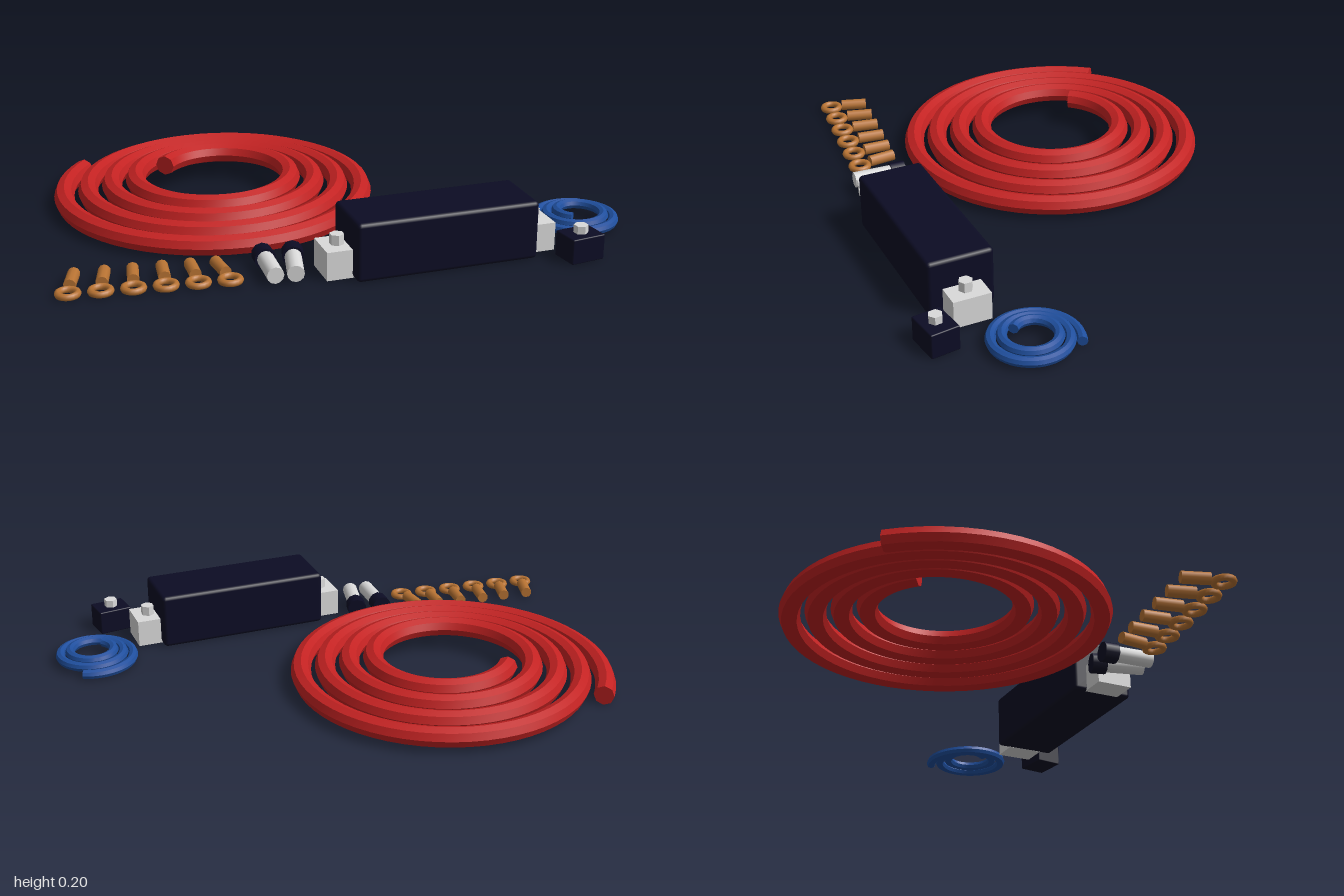
import * as THREE from 'three';
import { toCreasedNormals } from 'three/addons/utils/BufferGeometryUtils.js';
import { RoundedBoxGeometry } from 'three/addons/geometries/RoundedBoxGeometry.js';

const material = (name, color) => {
  const m = new THREE.MeshStandardMaterial({ color });
  m.name = name;
  return m;
};

const red = material('red cable', 0xc42222);
const blue = material('blue wire', 0x1f4f9e);
const black = material('black plastic', 0x0c0c24);
const silver = material('silver metal', 0xdadada);
const copper = material('copper', 0xb87333);

function add(parent, name, geometry, mat, x = 0, y = 0, z = 0) {
  const mesh = new THREE.Mesh(geometry, mat);
  mesh.name = name;
  mesh.position.set(x, y, z);
  parent.add(mesh);
  return mesh;
}

function addGroup(parent, name, x, z, turn) {
  const group = new THREE.Group();
  group.name = name;
  group.position.set(x, 0, z);
  group.rotation.y = turn;
  parent.add(group);
  return group;
}

// Capped eight-sided cable wound in a flat spiral that sinks outwards
function coil({ startAngle, turns, startRadius, pitch, thickness, startY, steps }) {
  const sides = 8, positions = [], index = [];
  const rings = steps + 3;
  for (let i = 0; i < rings; i++) {
    const t = THREE.MathUtils.clamp((i - 1) / steps, 0, 1);
    const size = i === 0 || i === rings - 1 ? 0 : thickness;
    const angle = startAngle + t * turns * Math.PI * 2;
    const y = THREE.MathUtils.lerp(startY, thickness, t);
    for (let j = 0; j < sides; j++) {
      const phi = (j / sides) * Math.PI * 2;
      const r = startRadius + pitch * turns * t + size * Math.cos(phi);
      positions.push(r * Math.cos(angle), y + size * Math.sin(phi), r * Math.sin(angle));
      if (i === rings - 1) continue;
      const a = i * sides + j, b = i * sides + (j + 1) % sides;
      if (i > 0) index.push(a, b, a + sides);
      if (i < rings - 2) index.push(b, b + sides, a + sides);
    }
  }
  const geometry = new THREE.BufferGeometry();
  geometry.setAttribute('position', new THREE.Float32BufferAttribute(positions, 3));
  geometry.setIndex(index);
  return toCreasedNormals(geometry, 0.5);
}

// Cylinder lying along z
const rod = (radius, length, sides) =>
  new THREE.CylinderGeometry(radius, radius, length, sides).rotateX(Math.PI / 2);

const hexBolt = (radius, height) =>
  toCreasedNormals(new THREE.CylinderGeometry(radius, radius, height, 6), 0.5);

export function createModel() {
  const model = new THREE.Group();
  model.name = 'wiringKit';

  // Cable coils
  add(model, 'powerCable', coil({
    startAngle: THREE.MathUtils.degToRad(214), turns: 4, startRadius: 0.226,
    pitch: 0.088, thickness: 0.037, startY: 0.098, steps: 240,
  }), red, -0.365, 0, -0.163);
  add(model, 'remoteWire', coil({
    startAngle: THREE.MathUtils.degToRad(126), turns: 2.46, startRadius: 0.066,
    pitch: 0.036, thickness: 0.018, startY: 0.047, steps: 120,
  }), blue, 0.854, 0, 0.342);

  // Fuse holder with a bolted terminal on each end
  const holder = addGroup(model, 'fuseHolder', 0.275, 0.537, 0.12);
  add(holder, 'holderBody', new RoundedBoxGeometry(0.645, 0.205, 0.235, 2, 0.014), black, 0, 0.1025, 0);
  for (const side of [-1, 1]) {
    add(holder, 'terminal', new THREE.BoxGeometry(0.1, 0.1, 0.135), silver, side * 0.361, 0.05, 0);
    add(holder, 'terminalBolt', hexBolt(0.025, 0.036), silver, side * 0.355, 0.118, 0);
  }

  // Small bolted block
  const block = addGroup(model, 'groundBlock', 0.753, 0.63, 0.25);
  add(block, 'blockBody', new RoundedBoxGeometry(0.127, 0.09, 0.104, 1, 0.004), black, 0, 0.045, 0);
  add(block, 'blockBolt', hexBolt(0.025, 0.03), silver, 0, 0.103, 0);

  // Capped connectors
  for (const [x, turn] of [[-0.302, 0.07], [-0.217, -0.12]]) {
    const connector = addGroup(model, 'connector', x, 0.56, turn);
    add(connector, 'connectorCap', rod(0.037, 0.054, 10), black, 0, 0.037, -0.071);
    add(connector, 'connectorBarrel', rod(0.029, 0.142, 12), silver, 0, 0.037, 0.025);
  }

  // Row of ring terminals, fanned slightly
  const turns = [-0.19, -0.15, -0.06, 0, 0.08, 0.22];
  turns.forEach((turn, i) => {
    const lug = addGroup(model, 'ringTerminal', -0.958 + i * 0.1045, 0.605, turn);
    add(lug, 'lugRing', new THREE.TorusGeometry(0.032, 0.012, 8, 20).rotateX(Math.PI / 2), copper, 0, 0.014, 0);
    add(lug, 'lugBarrel', rod(0.021, 0.098, 10), copper, 0, 0.022, -0.092);
  });

  return model;
}
